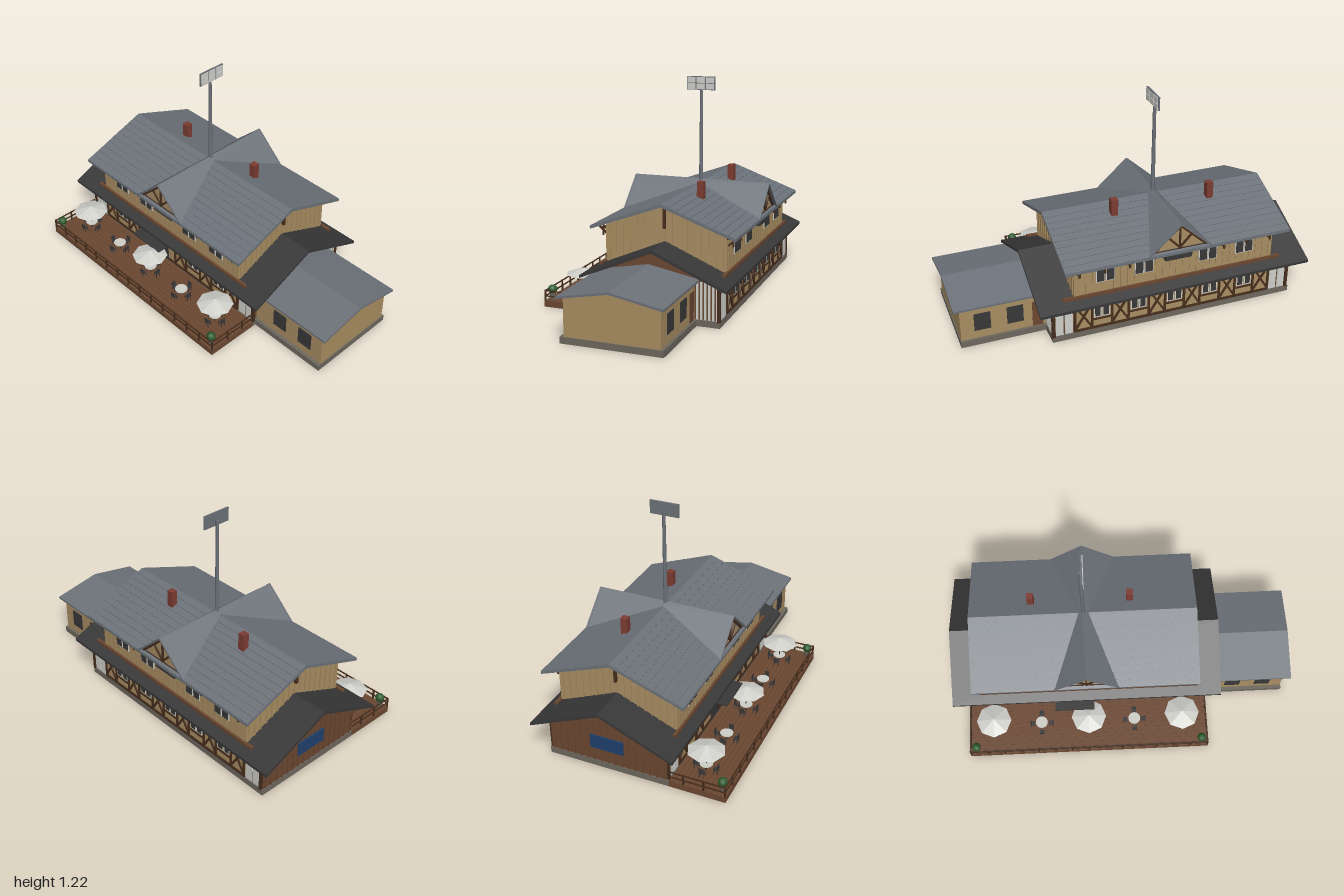
import * as THREE from 'three';

const mat = (name, color, side = THREE.FrontSide) => {
  const m = new THREE.MeshStandardMaterial({ color, side });
  m.name = name;
  return m;
};

export function createModel() {
  const root = new THREE.Group();
  root.name = 'lodge';
  const tan = mat('tan wall', 0xa98e62), brown = mat('brown wood', 0x6b4731);
  const timber = mat('dark timber', 0x472e1d), grey = mat('grey roof', 0x6c7279, THREE.DoubleSide);
  const dark = mat('charcoal', 0x383838), white = mat('pale grey', 0xcfcfca, THREE.DoubleSide);
  const stone = mat('stone', 0x6d685e), brick = mat('brick', 0x7c3c32);
  const green = mat('leaf green', 0x2c5a2b), blue = mat('blue', 0x20406e);

  const XC = -0.205, ZC = -0.125;   // centre of the main house

  const add = (name, geo, m, parent = root) => {
    const mesh = new THREE.Mesh(geo, m);
    mesh.name = name;
    parent.add(mesh);
    return mesh;
  };
  const box = (name, m, x0, x1, y0, y1, z0, z1, parent) => {
    const b = add(name, new THREE.BoxGeometry(x1 - x0, y1 - y0, Math.abs(z1 - z0)), m, parent);
    b.position.set((x0 + x1) / 2, (y0 + y1) / 2, (z0 + z1) / 2);
    return b;
  };
  const beam = (name, m, a, b, w, h = w, parent) => {
    const va = new THREE.Vector3(...a), vb = new THREE.Vector3(...b);
    const mesh = add(name, new THREE.BoxGeometry(w, h, va.distanceTo(vb)), m, parent);
    mesh.position.copy(va).lerp(vb, 0.5);
    mesh.lookAt(vb);
    return mesh;
  };
  // Outline given as [z, y], extruded along x
  const alongX = (name, m, pts, x0, x1) => {
    const s = new THREE.Shape(pts.map(([z, y]) => new THREE.Vector2(-z, y)));
    const g = new THREE.ExtrudeGeometry(s, { depth: x1 - x0, bevelEnabled: false });
    g.rotateY(Math.PI / 2).translate(x0, 0, 0);
    return add(name, g, m);
  };
  const gableBody = (name, m, x0, x1, zc, hw, y0, eave, ridge) =>
    alongX(name, m, [[zc + hw, y0], [zc - hw, y0], [zc - hw, eave], [zc, ridge], [zc + hw, eave]], x0, x1);
  const gableRoof = (name, m, x0, x1, zc, hw, eave, ridge, t) =>
    alongX(name, m, [[zc + hw, eave], [zc, ridge], [zc - hw, eave],
      [zc - hw, eave - t], [zc, ridge - t], [zc + hw, eave - t]], x0, x1);

  // Main volumes
  box('mainPlinth', stone, -0.92, 0.5, 0, 0.035, -0.47, 0.22);
  gableBody('lowerStorey', brown, -0.915, 0.49, ZC, 0.335, 0.03, 0.23, 0.375);
  gableBody('upperStorey', tan, -0.79, 0.375, ZC, 0.34, 0.24, 0.46, 0.587);
  gableRoof('lowerRoof', dark, -1, 0.58, ZC, 0.405, 0.228, 0.4, 0.016);
  gableRoof('upperRoof', grey, -0.86, 0.44, ZC, 0.405, 0.459, 0.607, 0.014);

  // Annex
  box('annexPlinth', stone, 0.5, 0.97, 0, 0.035, -0.345, 0.2);
  gableBody('annexWalls', tan, 0.48, 0.965, -0.075, 0.255, 0.03, 0.24, 0.285);
  gableRoof('annexRoof', grey, 0.49, 1, -0.075, 0.28, 0.247, 0.3, 0.012);
  for (const x of [0.665, 0.845])
    for (const z of [0.181, -0.331]) box('annexWindow', dark, x - 0.045, x + 0.045, 0.085, 0.19, z - 0.003, z + 0.003);
  box('annexDoor', brown, 0.51, 0.57, 0.035, 0.19, -0.333, -0.328);

  // End wall boards, gable posts, slats and notice board
  for (let i = 0; i < 17; i++) {
    const d = -0.32 + i * 0.04;
    const top = 0.37 - Math.abs(d) * 0.43;
    box('endBatten', brown, -0.92, -0.914, 0.035, top, ZC + d - 0.004, ZC + d + 0.004);
    const hi = 0.583 - Math.abs(d) * 0.37;
    for (const x of [-0.792, 0.377])
      box('gableBatten', tan, x - 0.003, x + 0.003, 0.27, hi, ZC + d - 0.004, ZC + d + 0.004);
  }
  for (let i = 0; i < 6; i++) {
    const z = -0.34 - i * 0.0215;
    box('endSlat', white, 0.488, 0.496, 0.035, 0.235, z - 0.012, z);
  }
  box('noticeBoard', blue, -0.929, -0.921, 0.12, 0.2, -0.22, -0.03);
  for (const x of [-0.8, 0.385]) box('gablePost', timber, x - 0.008, x + 0.008, 0.47, 0.59, ZC - 0.007, ZC + 0.007);

  // Long sides, built twice: s = 1 front, s = -1 back
  for (const s of [1, -1]) {
    const side = new THREE.Group();
    side.name = s > 0 ? 'frontSide' : 'backSide';
    root.add(side);
    const Z = d => ZC + s * d;
    const plate = (name, m, x0, x1, y0, y1, d0, d1) => box(name, m, x0, x1, y0, y1, Z(d0), Z(d1), side);
    const strut = (name, x0, y0, x1, y1, d, w = 0.011) =>
      beam(name, timber, [x0, y0, Z(d)], [x1, y1, Z(d)], 0.008, w, side);

    plate('groundFloorWall', tan, -0.79, 0.375, 0.035, 0.235, 0.33, 0.34);
    plate('floorBand', brown, -0.84, 0.44, 0.25, 0.268, 0.335, 0.352);
    plate('sillBeam', timber, -0.79, 0.375, 0.036, 0.05, 0.34, 0.346);
    plate('headBeam', timber, -0.79, 0.375, 0.205, 0.22, 0.34, 0.346);
    plate('eaveBeam', timber, -0.79, 0.375, 0.438, 0.452, 0.34, 0.35);

    // Pale corner panels with posts
    for (const k of [-1, 1]) {
      const px = o => XC + 0.0 + k * o;
      for (const o of [0.612, 0.665]) {
        const a = px(o - 0.022), b = px(o + 0.022);
        plate('cornerPanel', white, Math.min(a, b), Math.max(a, b), 0.036, 0.232, 0.33, 0.341);
      }
      const p = px(0.698);
      plate('cornerPost', timber, p - 0.009, p + 0.009, 0.03, 0.23, 0.33, 0.346);
    }

    // Timber framing: crossed braces between windows
    for (const o of [-0.53, -0.32, -0.105, 0.105, 0.32, 0.53]) {
      const x = XC + o, h = 0.048;
      for (const e of [-h, h]) plate('framePost', timber, x + e - 0.006, x + e + 0.006, 0.04, 0.215, 0.34, 0.347);
      strut('crossBrace', x - h, 0.05, x + h, 0.205, 0.343);
      strut('crossBrace', x - h, 0.205, x + h, 0.05, 0.344);
    }
    for (const o of [-0.425, -0.2125, 0, 0.2125, 0.425]) {
      if (s > 0 && o === 0) continue;
      for (const e of [-0.024, 0.024]) {
        const x = XC + o + e;
        plate('lowerWindowFrame', white, x - 0.021, x + 0.021, 0.105, 0.198, 0.34, 0.343);
        plate('lowerWindowPane', dark, x - 0.015, x + 0.015, 0.112, 0.191, 0.342, 0.345);
      }
      plate('windowRail', timber, XC + o - 0.055, XC + o + 0.055, 0.09, 0.1, 0.34, 0.346);
    }

    // Upper windows in pairs
    for (const o of [-0.41, -0.19, 0.185, 0.405]) {
      for (const e of [-0.028, 0.028]) {
        const x = XC + o + e;
        plate('upperWindowFrame', white, x - 0.026, x + 0.026, 0.33, 0.408, 0.34, 0.345);
        plate('upperWindowPane', dark, x - 0.021, x + 0.021, 0.335, 0.403, 0.344, 0.348);
      }
    }
    for (let x = -0.77; x < 0.37; x += 0.04) plate('wallBatten', tan, x - 0.003, x + 0.003, 0.27, 0.44, 0.339, 0.343);
    plate('gableBalcony', dark, XC - 0.08, XC + 0.075, 0.395, 0.445, 0.34, 0.375);

    // Eave brackets
    for (const x of [-0.76, -0.62, -0.48, 0.07, 0.21, 0.35]) {
      beam('bracketStrut', timber, [x, 0.4, Z(0.34)], [x, 0.45, Z(0.395)], 0.01, 0.01, side);
      plate('bracketPost', timber, x - 0.005, x + 0.005, 0.395, 0.455, 0.362, 0.37);
    }

    // Cross gable: wall, timbers and the two roof planes meeting the main ridge
    const tri = new THREE.Shape([[-0.155, 0.455], [0.155, 0.455], [0, 0.605]].map(p => new THREE.Vector2(...p)));
    const triWall = add('crossGableWall', new THREE.ExtrudeGeometry(tri, { depth: 0.05, bevelEnabled: false }), tan, side);
    triWall.position.set(XC, 0, Z(0.355) - 0.025);
    strut('gableTie', XC - 0.15, 0.464, XC + 0.15, 0.464, 0.385, 0.014);
    strut('kingPost', XC, 0.46, XC, 0.605, 0.385);
    for (const k of [-1, 1]) {
      strut('gableRafter', XC + k * 0.17, 0.455, XC, 0.612, 0.388, 0.014);
      strut('gableStrut', XC, 0.475, XC + k * 0.065, 0.545, 0.385);
      const g = new THREE.BufferGeometry();
      g.setAttribute('position', new THREE.Float32BufferAttribute([
        XC, 0.63, Z(0.405), XC + k * 0.19, 0.455, Z(0.405), XC + k * 0.03, 0.608, ZC, XC, 0.63, ZC], 3));
      g.setIndex(k * s > 0 ? [0, 1, 2, 0, 2, 3] : [0, 2, 1, 0, 3, 2]);
      g.computeVertexNormals();
      add('crossGableRoof', g, grey, side);
      beam('crossGableVerge', grey, [XC, 0.625, Z(0.402)], [XC + k * 0.19, 0.452, Z(0.402)], 0.008, 0.01, side);
    }

    // Overlapping tile courses on the main roof
    for (let i = 0; i < 10; i++) {
      const d = 0.02 + i * 0.0405;
      const y = 0.609 - d * 0.365;
      const c = box('tileCourse', grey, -0.858, 0.438, y - 0.0015, y + 0.0015, Z(d - 0.021), Z(d + 0.021), side);
      c.rotation.x = s * 0.33;
    }
  }

  // Chimneys
  for (const x of [-0.505, 0.06]) box('chimney', brick, x - 0.019, x + 0.019, 0.53, 0.667, -0.235, -0.197);

  // Mast with panel array facing +x
  const mast = add('mast', new THREE.CylinderGeometry(0.009, 0.012, 0.58, 10), grey);
  mast.position.set(XC, 0.88, ZC);
  const panel = new THREE.Group();
  panel.name = 'mastPanel';
  panel.position.set(-0.194, 1.178, ZC);
  root.add(panel);
  box('panelBack', grey, -0.006, 0.004, -0.038, 0.038, -0.083, 0.083, panel);
  for (const z of [-0.055, 0, 0.055])
    for (const y of [-0.018, 0.018]) box('panelCell', white, 0.003, 0.008, y - 0.016, y + 0.016, z - 0.024, z + 0.024, panel);

  // Entrance and flat canopy
  box('entranceDoor', dark, -0.37, -0.21, 0.036, 0.18, 0.215, 0.222);
  box('entranceCanopy', dark, -0.4, -0.17, 0.18, 0.188, 0.21, 0.325);

  // Terrace with planks and railing
  box('terrace', brown, -0.92, 0.5, 0, 0.03, 0.222, 0.532);
  for (let i = 0; i < 12; i++) {
    const z = 0.223 + i * 0.0257;
    box('plank', brown, -0.92, 0.5, 0.029, 0.034, z, z + 0.024);
  }
  for (const y of [0.06, 0.09]) {
    box('frontRail', timber, -0.918, 0.498, y - 0.003, y + 0.003, 0.524, 0.53);
    for (const x of [-0.915, 0.495]) box('sideRail', timber, x - 0.003, x + 0.003, y - 0.003, y + 0.003, 0.225, 0.528);
  }
  for (let i = 0; i <= 14; i++) {
    const x = -0.915 + i * 1.41 / 14;
    box('railPost', timber, x - 0.004, x + 0.004, 0.03, 0.094, 0.523, 0.531);
  }
  for (const x of [-0.915, 0.495])
    for (const z of [0.3, 0.41]) box('railPost', timber, x - 0.004, x + 0.004, 0.03, 0.094, z - 0.004, z + 0.004);

  // Tables with four chairs; every other one has a parasol
  [-0.765, -0.49, XC, 0.065, 0.345].forEach((x, i) => {
    const set = new THREE.Group();
    set.name = 'tableSet';
    set.position.set(x, 0.034, 0.362);
    root.add(set);
    add('tableTop', new THREE.CylinderGeometry(0.036, 0.036, 0.005, 12), white, set).position.y = 0.045;
    add('tableLeg', new THREE.CylinderGeometry(0.004, 0.004, 0.045, 6), dark, set).position.y = 0.022;
    for (let k = 0; k < 4; k++) {
      const chair = new THREE.Group();
      chair.name = 'chair';
      chair.rotation.y = k * Math.PI / 2;
      set.add(chair);
      box('seat', dark, -0.013, 0.013, 0.024, 0.029, 0.042, 0.066, chair);
      box('backrest', dark, -0.013, 0.013, 0.026, 0.056, 0.064, 0.068, chair);
      for (const lx of [-0.011, 0.011])
        for (const lz of [0.044, 0.064]) box('chairLeg', dark, lx - 0.0015, lx + 0.0015, 0, 0.026, lz - 0.0015, lz + 0.0015, chair);
    }
    if (i % 2 === 0) {
      add('parasolPole', new THREE.CylinderGeometry(0.003, 0.003, 0.155, 6), dark, set).position.y = 0.078;
      const cone = new THREE.ConeGeometry(0.102, 0.034, 8, 1, true).toNonIndexed();
      cone.computeVertexNormals();
      add('parasol', cone, white, set).position.y = 0.146;
    }
  });

  // Planters at the front corners
  for (const x of [-0.88, 0.46]) {
    add('planter', new THREE.CylinderGeometry(0.018, 0.014, 0.045, 8), stone).position.set(x, 0.055, 0.5);
    add('shrub', new THREE.IcosahedronGeometry(0.026, 1), green).position.set(x, 0.092, 0.5);
  }
  return root;
}
